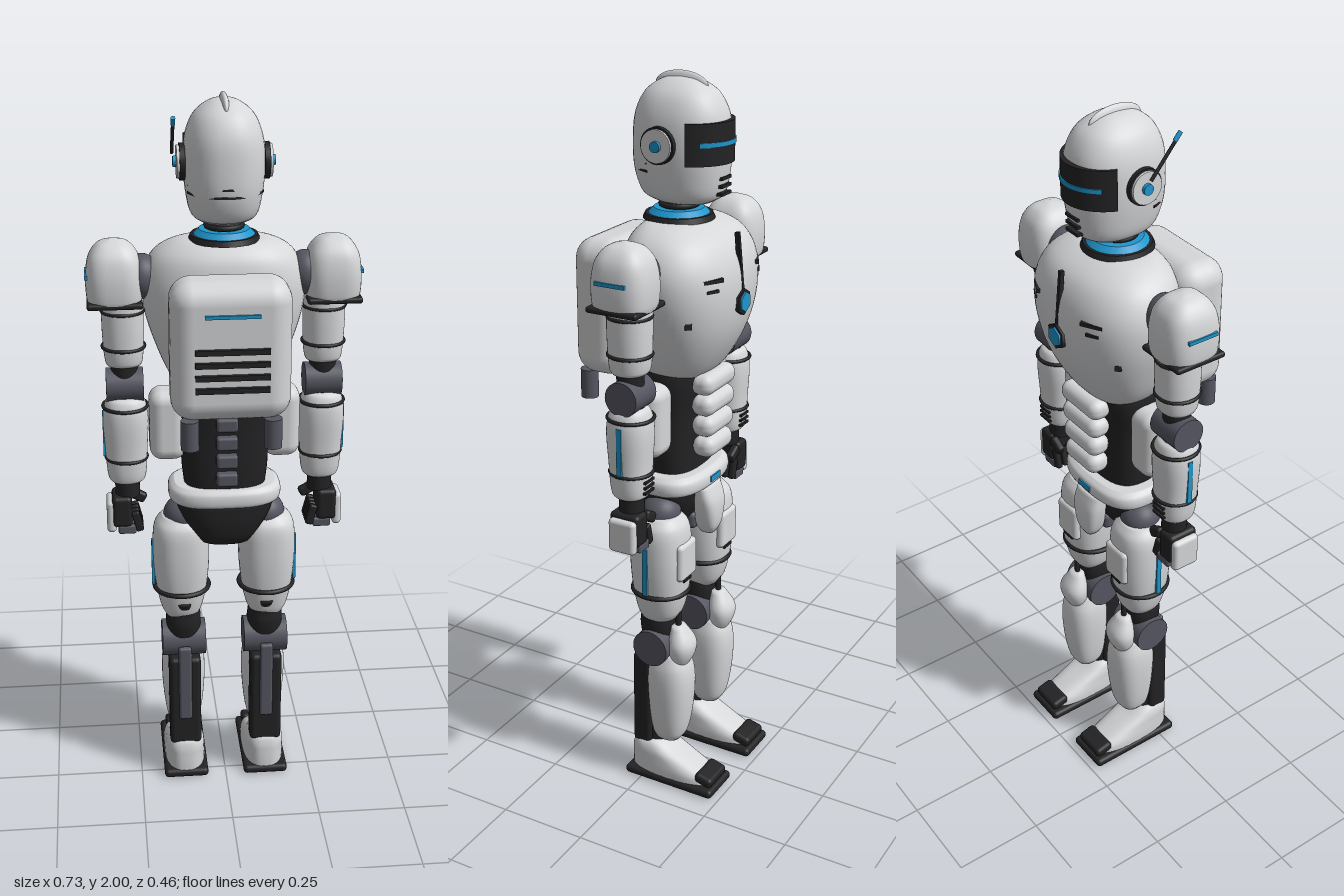
import * as THREE from 'three';
import { RoundedBoxGeometry } from 'three/addons/geometries/RoundedBoxGeometry.js';

const makeMat = (name, color) => Object.assign(new THREE.MeshStandardMaterial({ color }), { name });
const shell = makeMat('paleShell', 0xd6d7d9);
const black = makeMat('blackFrame', 0x232325);
const grey = makeMat('greyJoint', 0x555661);
const blue = makeMat('blueLight', 0x1f96cc);

// Closed smooth skin through rows [y, halfWidth, zFront, zBack], rows going upward
function loft(rows, n = 2.4, seg = 40, steps = 5) {
  const a = new THREE.CatmullRomCurve3(rows.map(r => new THREE.Vector3(r[0], r[1], 0)), false, 'centripetal');
  const b = new THREE.CatmullRomCurve3(rows.map(r => new THREE.Vector3(r[0], r[2], r[3])), false, 'centripetal');
  const count = (rows.length - 1) * steps, pos = [], idx = [];
  const ring = (y, hx, z0, z1) => {
    for (let j = 0; j < seg; j++) {
      const t = j / seg * Math.PI * 2, c = Math.cos(t), s = Math.sin(t);
      const f = v => Math.sign(v) * Math.pow(Math.abs(v), 2 / n);
      pos.push(f(c) * hx, y, (z0 + z1) / 2 + f(s) * (z1 - z0) / 2);
    }
  };
  const first = rows[0], last = rows[rows.length - 1];
  const cap = r => ring(r[0], 0, (r[2] + r[3]) / 2, (r[2] + r[3]) / 2);
  cap(first);
  for (let i = 0; i <= count; i++) {
    const p = a.getPoint(i / count), q = b.getPoint(i / count);
    ring(p.x, Math.max(p.y, 0.001), q.y, q.z);
  }
  cap(last);
  for (let i = 0; i < count + 2; i++) for (let j = 0; j < seg; j++) {
    const k = (j + 1) % seg, o = i * seg, u = o + seg;
    idx.push(o + j, u + j, o + k, o + k, u + j, u + k);
  }
  const g = new THREE.BufferGeometry();
  g.setAttribute('position', new THREE.Float32BufferAttribute(pos, 3));
  g.setIndex(idx);
  g.computeVertexNormals();
  return g;
}

const box = (w, h, d) => new THREE.BoxGeometry(w, h, d);
const rbox = (w, h, d, r) => new RoundedBoxGeometry(w, h, d, 4, r);
const cyl = (r, h, r2 = r, seg = 28) => new THREE.CylinderGeometry(r, r2, h, seg);
const cylX = (r, h, seg) => cyl(r, h, r, seg).rotateZ(Math.PI / 2);
const ball = (rx, ry, rz) => new THREE.SphereGeometry(1, 28, 18).scale(rx, ry, rz);
const band = (r, tube, sz = 1) => new THREE.TorusGeometry(r, tube, 8, 36).rotateX(Math.PI / 2).scale(1, 1, sz);

// Curved strip wrapped round the face
function wrap(rx, rz, thick, h, a0) {
  const s = new THREE.Shape();
  s.absellipse(0, 0, rx, rz, a0, Math.PI - a0, false, 0);
  s.absellipse(0, 0, rx - thick, rz - thick, Math.PI - a0, a0, true, 0);
  s.closePath();
  return new THREE.ExtrudeGeometry(s, { depth: h, bevelEnabled: false, curveSegments: 28 })
    .rotateX(-Math.PI / 2).translate(0, -h / 2, 0);
}

function add(parent, name, geo, mat, x = 0, y = 0, z = 0, rx = 0, ry = 0, rz = 0) {
  const m = new THREE.Mesh(geo, mat);
  m.name = name;
  m.position.set(x, y, z);
  m.rotation.set(rx, ry, rz);
  parent.add(m);
  return m;
}
function group(parent, name) {
  const g = new THREE.Group();
  g.name = name;
  parent.add(g);
  return g;
}

function buildHead(root) {
  const g = group(root, 'head');
  add(g, 'skull', loft([[1.678, 0.065, -0.12, 0.03], [1.695, 0.085, -0.145, 0.065], [1.75, 0.099, -0.158, 0.088],
    [1.83, 0.105, -0.162, 0.092], [1.9, 0.098, -0.155, 0.085], [1.95, 0.075, -0.128, 0.06], [1.98, 0.035, -0.08, 0.015], [1.987, 0.005, -0.04, -0.03]], 2.3), shell);
  add(g, 'crest', ball(0.013, 0.035, 0.075), shell, 0, 1.965, -0.032);
  add(g, 'visor', wrap(0.112, 0.137, 0.02, 0.105, 0.46), black, 0, 1.835, -0.035);
  add(g, 'visorLight', wrap(0.115, 0.14, 0.008, 0.012, 0.75), blue, 0, 1.835, -0.035);
  // mouth vents and nape seams
  for (const y of [1.705, 1.725, 1.745]) add(g, 'mouthVent', box(0.05, 0.008, 0.02), black, 0, y, -0.152);
  for (const y of [1.76, 1.78]) add(g, 'napeSeam', wrap(0.106, 0.127, 0.01, 0.006, 0.4).rotateY(Math.PI), black, 0, y, -0.035);
  for (const s of [-1, 1]) {
    add(g, 'earRim', cylX(0.047, 0.014), black, s * 0.108, 1.83, -0.025);
    add(g, 'earDisc', cylX(0.042, 0.02), shell, s * 0.112, 1.83, -0.025);
    add(g, 'earLight', cylX(0.014, 0.01), blue, s * 0.126, 1.83, -0.027);
  }
  // antenna leaning to the rear
  add(g, 'antenna', cyl(0.0045, 0.11, 0.0045, 10), black, -0.133, 1.895, 0.012, 0.7);
  add(g, 'antennaTip', cyl(0.006, 0.026, 0.006, 10), blue, -0.133, 1.946, 0.053, 0.7);
  add(g, 'neck', cyl(0.046, 0.09), grey, 0, 1.65, -0.025);
  for (const y of [1.665, 1.683]) add(g, 'neckRing', band(0.047, 0.007), black, 0, y, -0.025);
  add(g, 'collar', cyl(0.088, 0.014, 0.094), black, 0, 1.636, -0.025);
  add(g, 'collarLight', cyl(0.066, 0.014, 0.08), blue, 0, 1.65, -0.025);
}

function buildTorso(root) {
  const g = group(root, 'torso');
  add(g, 'chest', loft([[1.2, 0.09, -0.1, 0.04], [1.25, 0.14, -0.145, 0.06], [1.35, 0.186, -0.195, 0.08], [1.45, 0.214, -0.212, 0.09],
    [1.53, 0.214, -0.204, 0.088], [1.59, 0.185, -0.172, 0.075], [1.625, 0.13, -0.115, 0.045], [1.635, 0.06, -0.07, 0.02]], 2.4, 56), shell);
  add(g, 'emblemFrame', cyl(0.036, 0.016, 0.036, 6), black, 0, 1.43, -0.21, Math.PI / 2);
  add(g, 'emblemLight', cyl(0.027, 0.008, 0.027, 6), blue, 0, 1.43, -0.219, Math.PI / 2);
  add(g, 'chestRod', box(0.01, 0.16, 0.012), black, 0, 1.53, -0.202, 0.1);
  for (const s of [-1, 1]) {
    add(g, 'chestSlit', box(0.06, 0.01, 0.012), black, s * 0.12, 1.51, -0.189, 0, -s * 0.5);
    add(g, 'chestSlitSmall', box(0.035, 0.008, 0.012), black, s * 0.125, 1.485, -0.19, 0, -s * 0.5);
    add(g, 'chestStud', box(0.018, 0.016, 0.016), black, s * 0.17, 1.4, -0.146, 0, -s * 0.85);
    add(g, 'flankPanel', rbox(0.1, 0.2, 0.1, 0.035), shell, s * 0.155, 1.12, -0.025);
    add(g, 'nozzle', cyl(0.024, 0.08), grey, s * 0.108, 1.17, 0.19);
  }
  // backpack with vents
  add(g, 'backpack', rbox(0.312, 0.37, 0.15, 0.058), shell, 0, 1.39, 0.145);
  for (let i = 0; i < 4; i++) add(g, 'packVent', box(0.19, 0.014, 0.018), black, 0, 1.302 + i * 0.034, 0.222);
  add(g, 'packLight', box(0.14, 0.009, 0.009), blue, 0, 1.495, 0.222);
  // waist, spine and abdomen pads
  add(g, 'waist', loft([[0.93, 0.11, -0.1, 0.055], [1.0, 0.118, -0.1, 0.058], [1.12, 0.122, -0.108, 0.06], [1.22, 0.135, -0.12, 0.065], [1.29, 0.12, -0.12, 0.06]], 2.7), black);
  for (let i = 0; i < 5; i++) add(g, 'vertebra', rbox(0.058, 0.038, 0.04, 0.008), grey, 0, 0.985 + i * 0.053, 0.062);
  for (let i = 0; i < 4; i++) add(g, 'abdomenPad', rbox(0.138 + i * 0.008, 0.058, 0.065, 0.026), shell, 0, 1.025 + i * 0.06, -0.13);
  // belt and pelvis
  add(g, 'belt', loft([[0.893, 0.14, -0.12, 0.065], [0.905, 0.154, -0.137, 0.078], [0.935, 0.154, -0.137, 0.078], [0.95, 0.138, -0.12, 0.065]], 2.8), shell);
  add(g, 'beltLight', box(0.05, 0.016, 0.008), blue, 0, 0.922, -0.138);
  add(g, 'pelvis', loft([[0.775, 0.07, -0.06, 0.045], [0.8, 0.088, -0.08, 0.06], [0.85, 0.12, -0.1, 0.07], [0.9, 0.14, -0.11, 0.072]], 2.6), black);
  add(g, 'crotchCore', rbox(0.07, 0.05, 0.09, 0.015), grey, 0, 0.785, -0.05);
  add(g, 'crotchPlate', loft([[0.755, 0.02, -0.14, -0.1], [0.78, 0.034, -0.152, -0.09], [0.85, 0.05, -0.155, -0.09], [0.9, 0.05, -0.138, -0.09]], 3), shell);
  for (const s of [-1, 1]) add(g, 'hipJoint', ball(0.055, 0.05, 0.055), grey, s * 0.115, 0.84, -0.035);
}

function buildArm(root, s) {
  const g = group(root, s > 0 ? 'leftArm' : 'rightArm'), z = -0.036, x = s * 0.268;
  add(g, 'shoulderJoint', ball(0.05, 0.06, 0.055), grey, s * 0.215, 1.53, z);
  add(g, 'shoulderCap', loft([[1.462, 0.068, -0.108, 0.034], [1.48, 0.073, -0.113, 0.039], [1.54, 0.074, -0.115, 0.041], [1.59, 0.064, -0.104, 0.03],
    [1.62, 0.04, -0.08, 0.006], [1.632, 0.01, -0.046, -0.028]], 3), shell, s * 0.288);
  add(g, 'shoulderLight', box(0.008, 0.01, 0.085), blue, s * 0.361, 1.54, z);
  add(g, 'shoulderRim', rbox(0.146, 0.016, 0.146, 0.007), black, s * 0.288, 1.468, z);
  add(g, 'upperArm', loft([[1.29, 0.046, -0.08, 0.008], [1.3, 0.05, -0.087, 0.015], [1.38, 0.056, -0.093, 0.021], [1.48, 0.056, -0.093, 0.021]], 2.2), shell, x, 0, 0);
  for (const y of [1.34, 1.44]) add(g, 'upperArmBand', band(0.056, 0.005), black, x, y, z);
  add(g, 'elbowCore', cyl(0.036, 0.14), black, x, 1.24, z);
  add(g, 'elbow', cylX(0.046, 0.1), grey, x, 1.23, z);
  add(g, 'forearm', loft([[0.95, 0.042, -0.075, 0.003], [0.96, 0.05, -0.084, 0.012], [1.05, 0.058, -0.09, 0.02], [1.15, 0.061, -0.093, 0.024], [1.19, 0.05, -0.083, 0.014], [1.2, 0.036, -0.07, 0]], 2.3), shell, x);
  for (const y of [1.02, 1.17]) add(g, 'forearmBand', band(y > 1.1 ? 0.06 : 0.056, 0.005), black, x, y, z);
  add(g, 'forearmLight', box(0.008, 0.13, 0.014), blue, s * 0.327, 1.09, z);
  for (let i = 0; i < 3; i++) add(g, 'forearmVent', box(0.045, 0.007, 0.012), black, x, 0.972 + i * 0.015, -0.086);
  // hand with curled fingers
  add(g, 'wrist', cyl(0.034, 0.05), black, x, 0.93, z);
  add(g, 'palm', rbox(0.055, 0.09, 0.088, 0.012), black, s * 0.285, 0.865, z);
  add(g, 'handPlate', rbox(0.026, 0.095, 0.08, 0.012), shell, s * 0.315, 0.85, z);
  for (let i = 0; i < 4; i++) {
    const fz = z - 0.033 + i * 0.022;
    add(g, 'knuckle', rbox(0.05, 0.026, 0.018, 0.006), grey, s * 0.272, 0.812, fz);
    add(g, 'finger', rbox(0.022, 0.06, 0.018, 0.006), black, s * 0.243, 0.835, fz, 0, 0, -s * 0.25);
  }
  add(g, 'thumb', rbox(0.05, 0.03, 0.024, 0.009), black, s * 0.24, 0.885, -0.07, 0, 0, s * 0.5);
}

function buildLeg(root, s) {
  const g = group(root, s > 0 ? 'leftLeg' : 'rightLeg'), x = s * 0.118, z = -0.035;
  add(g, 'thigh', loft([[0.525, 0.045, -0.085, 0.012], [0.55, 0.058, -0.1, 0.022], [0.63, 0.074, -0.116, 0.036], [0.74, 0.08, -0.12, 0.042], [0.81, 0.073, -0.112, 0.036], [0.84, 0.05, -0.09, 0.012]], 2.4), shell, s * 0.122);
  add(g, 'thighBand', band(0.077, 0.007, 1), black, x + s * 0.003, 0.612, z - 0.003);
  add(g, 'thighLight', box(0.008, 0.14, 0.014), blue, s * 0.202, 0.69, z);
  add(g, 'thighPlate', rbox(0.09, 0.11, 0.03, 0.013), shell, x, 0.715, -0.112);
  add(g, 'thighSlit', box(0.04, 0.007, 0.008), black, x, 0.655, -0.118);
  // knee
  add(g, 'lowerThigh', loft([[0.42, 0.04, -0.07, 0.005], [0.5, 0.05, -0.08, 0.02], [0.54, 0.046, -0.076, 0.018], [0.58, 0.03, -0.06, 0.034]], 2.3), black, x);
  add(g, 'kneeRod', cyl(0.008, 0.11, 0.008, 10), black, x, 0.53, -0.092);
  add(g, 'knee', cylX(0.053, 0.125), grey, x, 0.44, z);
  add(g, 'kneeCap', loft([[0.375, 0.026, -0.115, -0.075], [0.42, 0.044, -0.138, -0.07], [0.455, 0.046, -0.14, -0.07], [0.505, 0.022, -0.11, -0.075]], 2.2), shell, x);
  // shin, calf frame and rear piston
  add(g, 'shin', loft([[0.135, 0.034, -0.1, -0.03], [0.16, 0.047, -0.115, -0.02], [0.28, 0.062, -0.133, -0.008], [0.37, 0.06, -0.13, -0.008], [0.42, 0.045, -0.11, -0.02]], 2.5), shell, x);
  add(g, 'calf', rbox(0.092, 0.29, 0.06, 0.014), black, x, 0.255, 0.003);
  add(g, 'calfPiston', rbox(0.038, 0.24, 0.02, 0.008), grey, x, 0.32, 0.03);
  add(g, 'ankle', cyl(0.035, 0.08), black, x, 0.13, -0.02);
  // foot
  add(g, 'sole', rbox(0.13, 0.026, 0.282, 0.012), black, x, 0.014, -0.091);
  add(g, 'soleInset', rbox(0.085, 0.006, 0.22, 0.003), grey, x, 0.003, -0.09);
  add(g, 'foot', loft([[0.024, 0.06, -0.215, 0.046], [0.045, 0.06, -0.205, 0.046], [0.07, 0.058, -0.155, 0.045], [0.1, 0.055, -0.09, 0.042], [0.12, 0.046, -0.055, 0.034], [0.128, 0.03, -0.035, 0.02]], 2.8), shell, x);
  add(g, 'toeCap', rbox(0.1, 0.03, 0.055, 0.012), black, x, 0.044, -0.197, -0.25);
}

export function createModel() {
  const root = new THREE.Group();
  root.name = 'robot';
  buildHead(root);
  buildTorso(root);
  for (const s of [-1, 1]) {
    buildArm(root, s);
    buildLeg(root, s);
  }
  return root;
}
